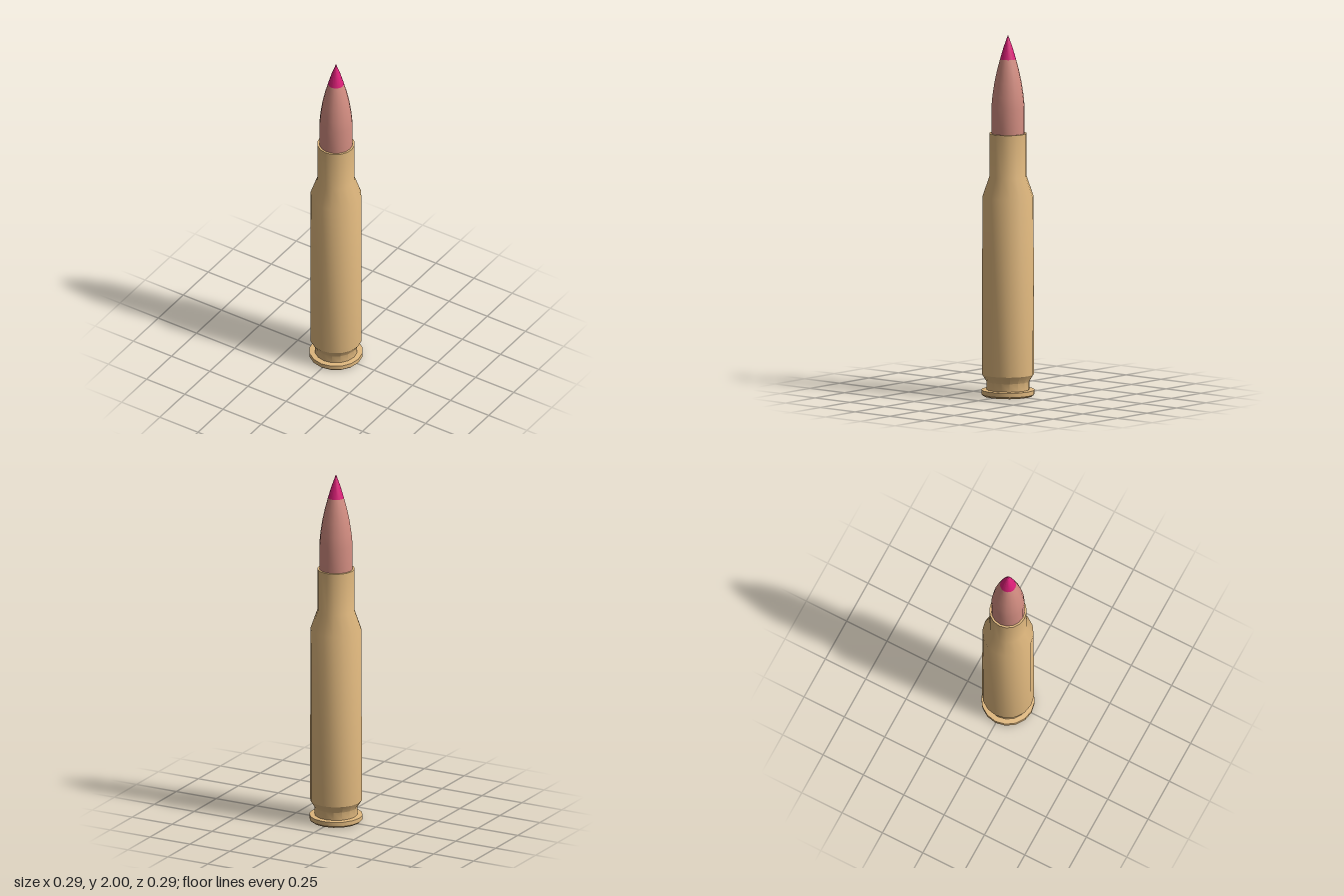
import * as THREE from 'three';
import { toCreasedNormals } from 'three/addons/utils/BufferGeometryUtils.js';

const SIDES = 16;

const brass = new THREE.MeshStandardMaterial({ color: 0xe0b87e });
brass.name = 'brass';
const copper = new THREE.MeshStandardMaterial({ color: 0xd48e82 });
copper.name = 'copper';
const pink = new THREE.MeshStandardMaterial({ color: 0xdc1f78 });
pink.name = 'pink';

// Turned part from [radius, height] pairs, listed from bottom to top
function turned(name, profile, material) {
  const points = profile.map(([r, y]) => new THREE.Vector2(r, y));
  const geometry = toCreasedNormals(new THREE.LatheGeometry(points, SIDES), 0.55);
  const mesh = new THREE.Mesh(geometry, material);
  mesh.name = name;
  return mesh;
}

export function createModel() {
  const group = new THREE.Group();
  group.name = 'cartridge';

  // Case: rim, extraction groove, body, shoulder, neck and mouth
  group.add(turned('case', [
    [0.062, 0.006], [0.062, 0], [0.136, 0], [0.147, 0.01], [0.147, 0.034],
    [0.118, 0.036], [0.118, 0.08], [0.143, 0.12], [0.141, 1.105],
    [0.103, 1.215], [0.103, 1.455], [0.091, 1.455],
  ], brass));

  // Primer set into the base
  group.add(turned('primer', [[0, 0.003], [0.056, 0.003], [0.062, 0.006]], brass));

  // Bullet jacket with its curved ogive
  group.add(turned('bullet', [
    [0.092, 1.44], [0.092, 1.595], [0.086, 1.66], [0.075, 1.735],
    [0.06, 1.805], [0.044, 1.865],
  ], copper));

  // Painted point
  group.add(turned('tip', [[0.044, 1.865], [0.025, 1.93], [0, 2]], pink));

  return group;
}
